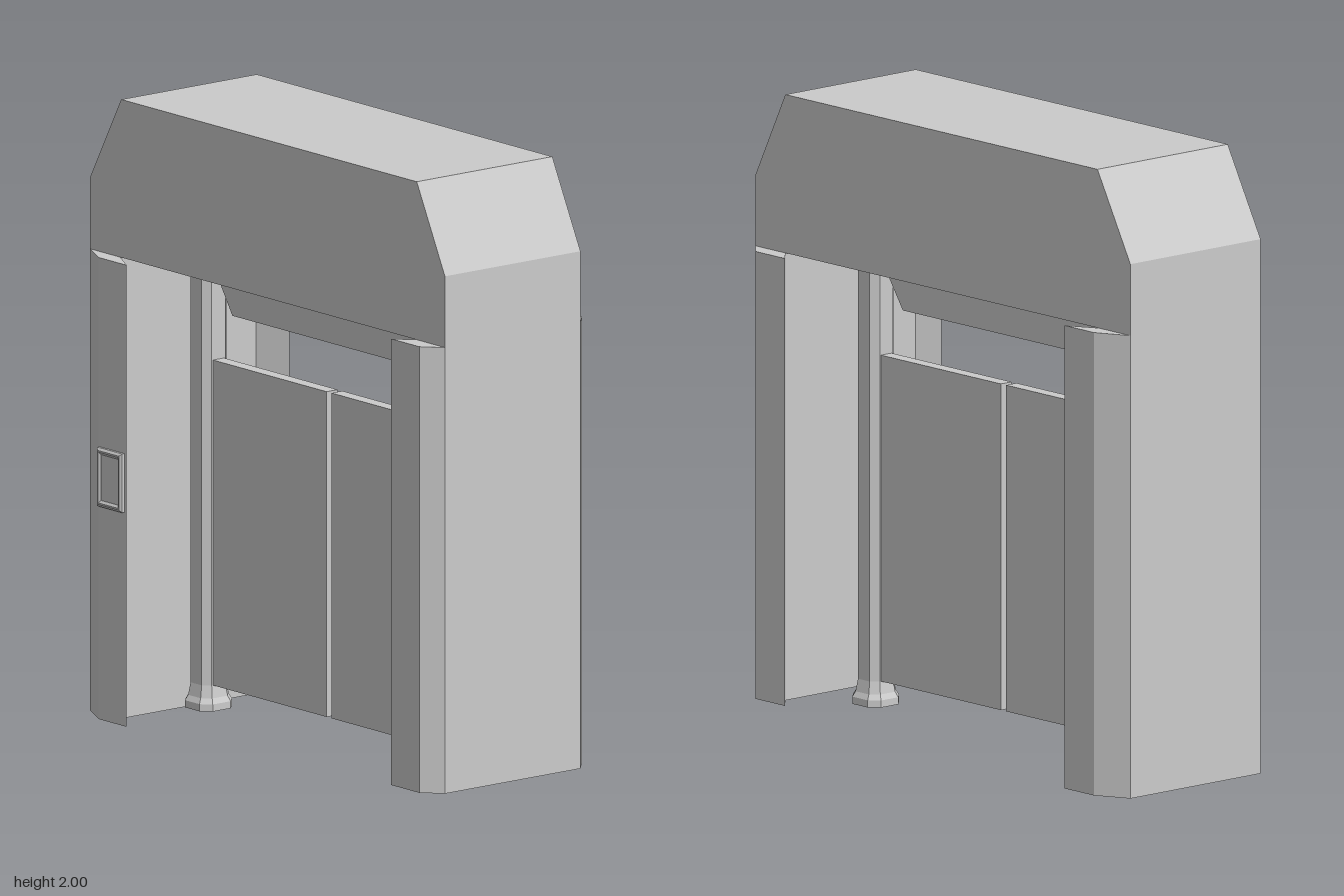
import * as THREE from 'three';

const mat = new THREE.MeshStandardMaterial({ color: 0xcccccc, flatShading: true });

function add(group, name, geo, x = 0, y = 0, z = 0) {
  const mesh = new THREE.Mesh(geo, mat);
  mesh.name = name;
  mesh.position.set(x, y, z);
  group.add(mesh);
  return mesh;
}

// Prism from 2D points, extruded along z
function prism(points, depth) {
  const shape = new THREE.Shape(points.map(([x, y]) => new THREE.Vector2(x, y)));
  return new THREE.ExtrudeGeometry(shape, { depth, bevelEnabled: false });
}

// Chamfered-square column through levels of [height, half width]
function loftColumn(levels) {
  const ring = [[1, -0.55], [1, 0.55], [0.55, 1], [-0.55, 1], [-1, 0.55], [-1, -0.55], [-0.55, -1], [0.55, -1]];
  const pos = [], idx = [];
  for (const [y, r] of levels) for (const [x, z] of ring) pos.push(x * r, y, z * r);
  for (let l = 0; l < levels.length - 1; l++) {
    for (let i = 0; i < 8; i++) {
      const a = l * 8 + i, b = l * 8 + (i + 1) % 8;
      idx.push(a, a + 8, b, b, a + 8, b + 8);
    }
  }
  const geo = new THREE.BufferGeometry();
  geo.setAttribute('position', new THREE.Float32BufferAttribute(pos, 3));
  geo.setIndex(idx);
  const flat = geo.toNonIndexed();
  flat.computeVertexNormals();
  return flat;
}

// C-shaped side pillar; inputs are distances from the centre line
function pillar(side, outer, bevel, lip, inner, bottom) {
  const front = [[outer, 0.275], [bevel, 0.33], [lip, 0.33], [inner, 0.275]];
  const back = front.map(([x, z]) => [x, -z]).reverse();
  const outline = [...front, ...back].map(([x, z]) => [x * side, z]);
  const geo = prism(outline, 1.49 - bottom);
  geo.rotateX(-Math.PI / 2);
  return geo.translate(0, bottom, -0.01);
}

export function createModel() {
  const group = new THREE.Group();

  // Overhead housing with sloped shoulders
  add(group, 'lintel', prism([[-0.885, 1.49], [0.88, 1.49], [0.88, 1.72], [0.74, 2], [-0.73, 2], [-0.885, 1.72]], 0.55), 0, 0, -0.285);

  // Side pillars
  add(group, 'rightPillar', pillar(-1, 0.885, 0.775, 0.635, 0.735, 0));
  add(group, 'leftPillar', pillar(1, 0.88, 0.82, 0.68, 0.74, 0.05));

  // Hanging panel under the lintel
  add(group, 'transomPanel', prism([[-0.58, 1.49], [-0.465, 1.315], [0.46, 1.315], [0.58, 1.49]], 0.07), 0, 0, -0.04);

  // Hinge posts with flared collars and hollow feet, and the swinging doors
  const postLevels = [[0.05, 0.04], [0.02, 0.045], [0.02, 0.066], [0.043, 0.066], [0.06, 0.057], [0.1, 0.05],
    [1.445, 0.05], [1.465, 0.062], [1.49, 0.062]];
  for (const side of [-1, 1]) {
    const label = side < 0 ? 'right' : 'left';
    add(group, label + 'Post', loftColumn(postLevels), side * 0.627, 0, -0.005);
    add(group, label + 'PostFootInside', new THREE.BoxGeometry(0.08, 0.01, 0.08), side * 0.627, 0.055, -0.005);
    add(group, label + 'Door', new THREE.BoxGeometry(0.57, 1.05, 0.045), side * 0.297, 0.625, -0.005);
  }

  // Control panel: frame around a recessed plate
  const frame = new THREE.Shape();
  frame.moveTo(-0.054, -0.087).lineTo(0.054, -0.087).lineTo(0.054, 0.087).lineTo(-0.054, 0.087);
  const hole = new THREE.Path();
  hole.moveTo(-0.05, -0.082).lineTo(-0.05, 0.082).lineTo(0.05, 0.082).lineTo(0.05, -0.082);
  frame.holes.push(hole);
  const control = new THREE.Group();
  control.name = 'controlPanel';
  control.position.set(-0.709, 0.785, 0.32);
  add(control, 'controlFrame', new THREE.ExtrudeGeometry(frame, {
    depth: 0.009, bevelThickness: 0.006, bevelSize: 0.008, bevelSegments: 1 }));
  add(control, 'controlPlate', new THREE.BoxGeometry(0.105, 0.168, 0.008), 0, 0, 0.004);
  group.add(control);

  return group;
}
